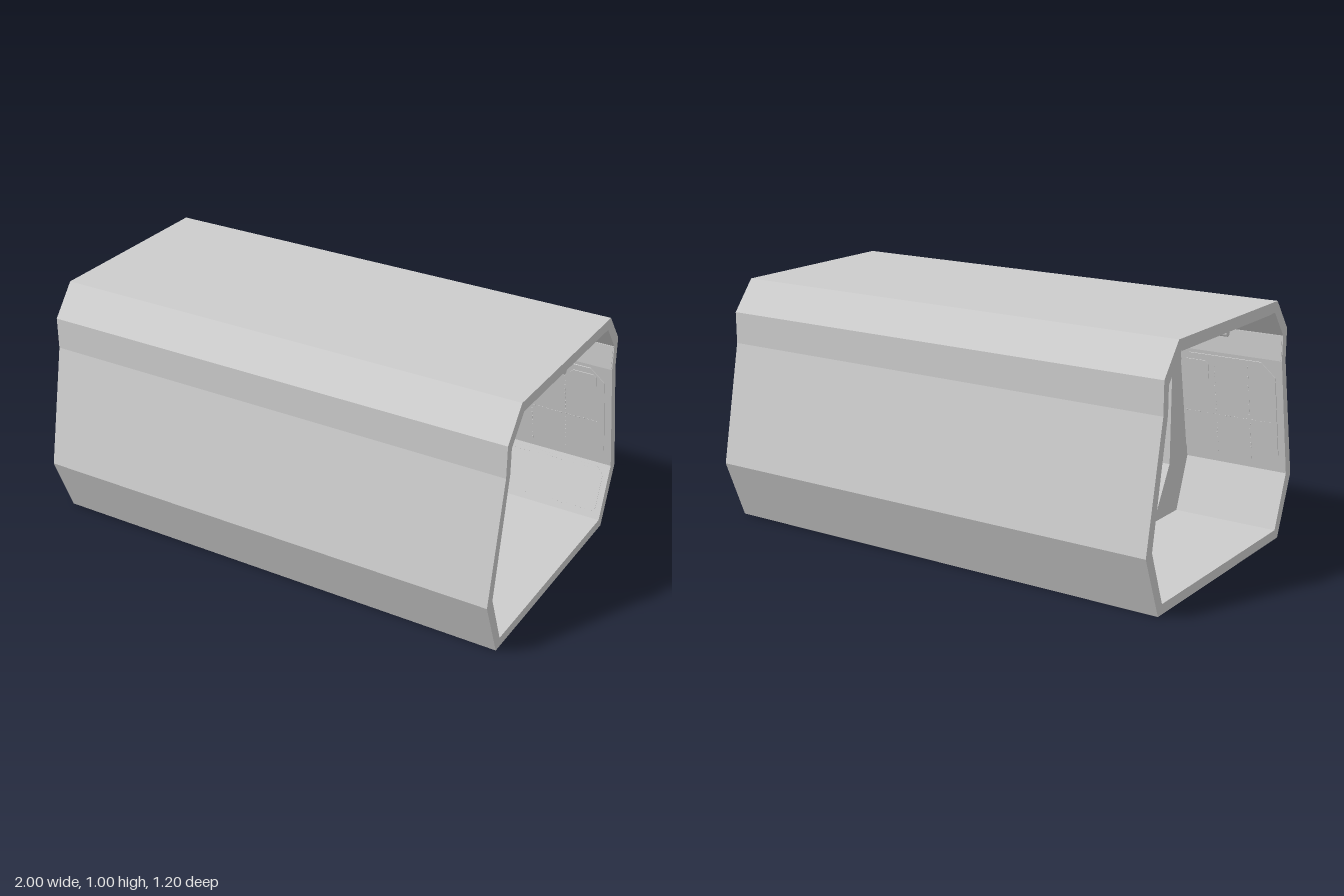
import * as THREE from 'three';
import { mergeGeometries } from 'three/addons/utils/BufferGeometryUtils.js';

// Half profiles of the hull as [z, y], from roof to floor
const OUTER = [[0.4, 1], [0.5, 0.875], [0.5, 0.745], [0.6, 0.25], [0.5, 0]];
const INNER = [[0.38, 0.957], [0.466, 0.85], [0.466, 0.745], [0.556, 0.26], [0.472, 0.04]];
const ARCH = [[0.222, 0.868], [0.4, 0.757], [0.4, 0.26], [0.276, 0.04]];

const flip = (pts) => pts.slice().reverse();
const mirrorLoop = (half) => [...half, ...flip(half).map(([z, y]) => [-z, y])];
const vectors = (pts) => pts.map(([a, b]) => new THREE.Vector2(a, b));
const toShape = (pts) => new THREE.Shape(vectors(pts));

export function createModel() {
  const model = new THREE.Group();
  model.name = 'corridorSection';
  const grey = new THREE.MeshStandardMaterial({ color: 0xcccccc });
  grey.name = 'hull grey';

  const add = (name, geometry) => {
    const mesh = new THREE.Mesh(geometry, grey);
    mesh.name = name;
    model.add(mesh);
  };

  // Extrudes a cross-section drawn in z and y along x
  const alongX = (shape, x0, x1) =>
    new THREE.ExtrudeGeometry(shape, { depth: x1 - x0, bevelEnabled: false })
      .rotateY(Math.PI / 2).translate(x0, 0, 0);

  // Hull tube: outline counter-clockwise, hole clockwise
  const hull = toShape(flip(mirrorLoop(OUTER)));
  hull.holes.push(new THREE.Path(vectors(mirrorLoop(INNER))));
  add('hull', alongX(hull, -1, 1));

  // Bulkhead with an open doorway and a groove around its jamb
  const bulkhead = (grow) => {
    const arch = ARCH.map(([z, y], i) => [z + grow, i === 0 ? y + grow : y]);
    const left = INNER.map(([z, y]) => [-z, y]);
    const inside = [...flip(arch).map(([z, y]) => [-z, y]), ...arch];
    return toShape([...flip(INNER), ...left, ...inside]);
  };
  add('bulkheadFront', alongX(bulkhead(0), -0.485, -0.45));
  add('bulkheadCore', alongX(bulkhead(0.015), -0.515, -0.485));
  add('bulkheadBack', alongX(bulkhead(0), -0.55, -0.515));

  // Places a geometry (u along x, v along the wall, w into the room) on an inner wall face
  const loop = mirrorLoop(INNER);
  const onWall = (geometry, face, x) => {
    const [az, ay] = loop[face], [bz, by] = loop[(face + 1) % loop.length];
    const v = new THREE.Vector3(0, by - ay, bz - az).normalize();
    const u = new THREE.Vector3(1, 0, 0);
    const n = new THREE.Vector3().crossVectors(u, v);
    const m = new THREE.Matrix4().makeBasis(u, v, n).setPosition(x, (ay + by) / 2, (az + bz) / 2);
    return geometry.applyMatrix4(m);
  };
  const faceLength = (face) => {
    const [az, ay] = loop[face], [bz, by] = loop[(face + 1) % loop.length];
    return Math.hypot(bz - az, by - ay);
  };

  // Thin plate with cut corners
  const plate = (w, h, cut, depth) => {
    const a = w / 2, b = h / 2;
    const s = toShape([[-a + cut, -b], [a - cut, -b], [a, -b + cut], [a, b - cut],
      [a - cut, b], [-a + cut, b], [-a, b - cut], [-a, -b + cut]]);
    return new THREE.ExtrudeGeometry(s, { depth, bevelEnabled: false });
  };
  const box = (w, h, d, u, v, base = 0) => new THREE.BoxGeometry(w, h, d).translate(u, v, base + d / 2);

  // Wall bays: four along x, on both sides; "up" is the sense of v on that side
  const panels = [], rivets = [], ribs = [];
  for (const x of [-0.75, -0.25, 0.25, 0.75]) {
    for (const [left, right] of [[1, 7], [2, 6], [3, 5]]) {
      for (const [face, up] of [[left, -1], [right, 1]]) {
        const h = faceLength(face);
        if (left === 1) {
          // Upper band
          panels.push(onWall(plate(0.492, h - 0.004, 0.002, 0.002), face, x));
        } else if (left === 2) {
          // Main wall panel with a small hatch and rivet rows
          panels.push(onWall(plate(0.44, h - 0.03, 0.06, 0.004), face, x));
          panels.push(onWall(plate(0.11, 0.09, 0.012, 0.003).translate(0.13, up * 0.16, 0.004), face, x));
          for (let i = 0; i < 20; i++) {
            const t = -0.2 + i * 0.021;
            for (const u of [-0.1, 0.05]) rivets.push(onWall(box(0.005, 0.01, 0.0015, u, t, 0.004), face, x));
            rivets.push(onWall(box(0.01, 0.005, 0.0015, t * 0.95, -0.03 * up, 0.004), face, x));
          }
        } else if (x > -0.5) {
          // Lower slope panel, left plain behind the bulkhead
          panels.push(onWall(plate(0.45, h - 0.03, 0.03, 0.0015), face, x));
          for (let i = 0; i < 18; i++) {
            for (const s of [-1, 1]) {
              rivets.push(onWall(box(0.012, 0.005, 0.001, -0.18 + i * 0.021, s * (h / 2 - 0.03), 0.0015), face, x));
            }
          }
        }
      }
    }
    // Ceiling frames
    for (const u of [-0.235, 0, 0.235]) ribs.push(onWall(box(0.016, 0.73, 0.006, u, 0), 9, x));
    for (const v of [-0.36, -0.19, 0.19, 0.36]) ribs.push(onWall(box(0.47, 0.014, 0.006, 0, v), 9, x));
  }
  add('wallPanels', mergeGeometries(panels));
  add('wallRivets', mergeGeometries(rivets));
  add('ceilingRibs', mergeGeometries(ribs));

  // Ceiling conduit with clamps
  const conduit = new THREE.CylinderGeometry(0.013, 0.013, 1.98, 12);
  add('ceilingConduit', conduit.rotateZ(Math.PI / 2).translate(0, 0.945, 0));
  const clamp = toShape([[-0.036, 0.957], [-0.02, 0.931], [0.02, 0.931], [0.036, 0.957]]);
  const clamps = [-0.9, -0.65, -0.25, 0, 0.25, 0.5, 0.9].map((x) => alongX(clamp, x - 0.025, x + 0.025));
  add('conduitClamps', mergeGeometries(clamps));

  return model;
}
